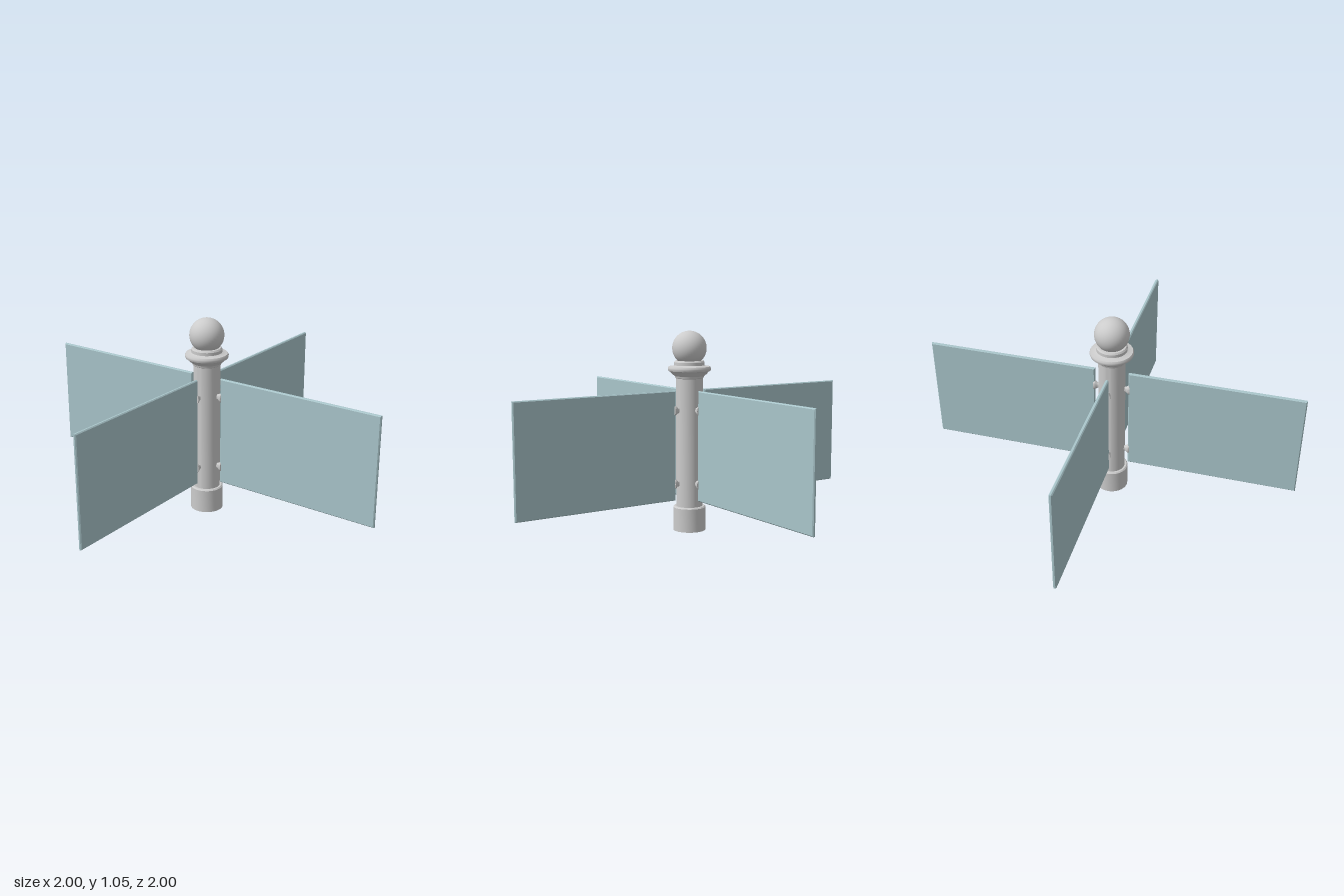
import * as THREE from 'three';
import { toCreasedNormals } from 'three/addons/utils/BufferGeometryUtils.js';

const grey = new THREE.MeshStandardMaterial({ color: 0xcccccc });
const glass = new THREE.MeshStandardMaterial({ color: 0xa9c5ca });

function lathe(points, segments) {
  const profile = points.map(([r, y]) => new THREE.Vector2(r, y));
  return toCreasedNormals(new THREE.LatheGeometry(profile, segments), 0.6);
}

function add(parent, name, geometry, material) {
  const mesh = new THREE.Mesh(geometry, material);
  mesh.name = name;
  parent.add(mesh);
  return mesh;
}

// Flat glass sheet with bevelled edges, reaching outwards along +x
function panelGeometry(x0, x1, y0, y1, thickness, bevel) {
  const shape = new THREE.Shape();
  shape.moveTo(x0 + bevel, y0 + bevel);
  shape.lineTo(x1 - bevel, y0 + bevel);
  shape.lineTo(x1 - bevel, y1 - bevel);
  shape.lineTo(x0 + bevel, y1 - bevel);
  shape.closePath();
  const depth = thickness - 2 * bevel;
  const geometry = new THREE.ExtrudeGeometry(shape, {
    depth, bevelEnabled: true, bevelSize: bevel, bevelThickness: bevel, bevelSegments: 1,
  });
  return geometry.translate(0, 0, -depth / 2);
}

export function createModel() {
  const model = new THREE.Group();
  model.name = 'turnstile';

  // Centre post: wide foot, shaft and moulded collar
  add(model, 'baseSleeve', lathe([
    [0, 0], [0.086, 0], [0.086, 0.124], [0.08, 0.13], [0, 0.13],
  ], 48), grey);
  add(model, 'post', lathe([[0.07, 0.12], [0.07, 0.82]], 48), grey);
  add(model, 'collar', lathe([
    [0.068, 0.806], [0.074, 0.81], [0.077, 0.82], [0.09, 0.83], [0.1, 0.842],
    [0.11, 0.847], [0.113, 0.855], [0.113, 0.862], [0.108, 0.87], [0.09, 0.872],
    [0.08, 0.876], [0.08, 0.892], [0.074, 0.9], [0, 0.9],
  ], 48), grey);

  // Ball on top
  const ball = add(model, 'ballFinial', new THREE.SphereGeometry(0.09, 40, 28), grey);
  ball.position.y = 0.965;

  // Four wings, each a panel held by two flared studs
  const panel = panelGeometry(0.09, 1, 0.167, 0.747, 0.018, 0.005);
  const stud = lathe([
    [0, 0.06], [0.016, 0.06], [0.016, 0.076], [0.026, 0.089], [0.026, 0.098], [0, 0.098],
  ], 16);
  stud.rotateZ(-Math.PI / 2).scale(1, 1, 0.68);
  for (let i = 0; i < 4; i++) {
    const wing = new THREE.Group();
    wing.name = 'wing' + (i + 1);
    wing.rotation.y = (i * Math.PI) / 2;
    add(wing, 'glassPanel', panel, glass);
    for (const y of [0.255, 0.643]) add(wing, 'panelStud', stud, grey).position.y = y;
    model.add(wing);
  }
  return model;
}
